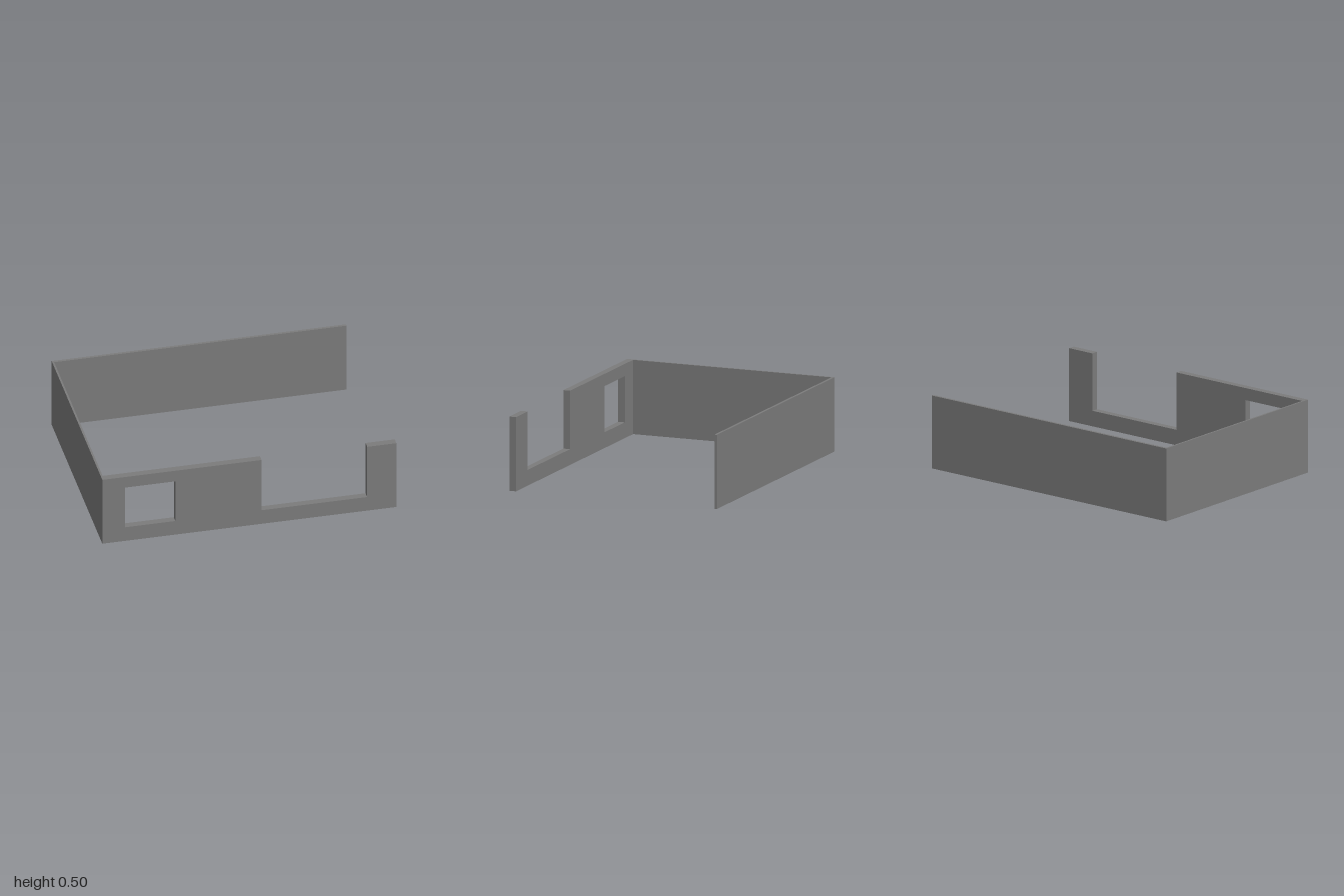
import * as THREE from 'three';

const H = 0.503;      // wall height
const D = 0.747;      // half depth
const SIDE = 0.013;   // side wall thickness
const BACK = 0.018;   // back wall thickness
const FRONT = 0.048;  // front wall thickness

export function createModel() {
  const group = new THREE.Group();
  const material = new THREE.MeshStandardMaterial({ color: 0x7b7b7b, flatShading: true });

  const add = (name, geometry, x, y, z) => {
    const mesh = new THREE.Mesh(geometry, material);
    mesh.name = name;
    mesh.position.set(x, y, z);
    group.add(mesh);
  };
  const points = (list) => list.map(([x, y]) => new THREE.Vector2(x, y));

  // Front wall: outline with a doorway notch open at the top, and a window hole
  const outline = new THREE.Shape(points([
    [-1, 0], [1, 0], [1, H], [0.802, H], [0.802, 0.107],
    [0.083, 0.107], [0.083, H], [-1, H],
  ]));
  outline.holes.push(new THREE.Path(points([
    [-0.847, 0.107], [-0.847, 0.42], [-0.503, 0.42], [-0.503, 0.107],
  ])));
  add('frontWall', new THREE.ExtrudeGeometry(outline, { depth: FRONT, bevelEnabled: false }), 0, 0, D - FRONT);

  // Plain back wall
  add('backWall', new THREE.BoxGeometry(2, H, BACK), 0, H / 2, -D + BACK / 2);

  // Thin right side wall between the front and back walls
  const length = 2 * D - FRONT - BACK;
  add('rightWall', new THREE.BoxGeometry(SIDE, H, length), -1 + SIDE / 2, H / 2, (BACK - FRONT) / 2);

  return group;
}
